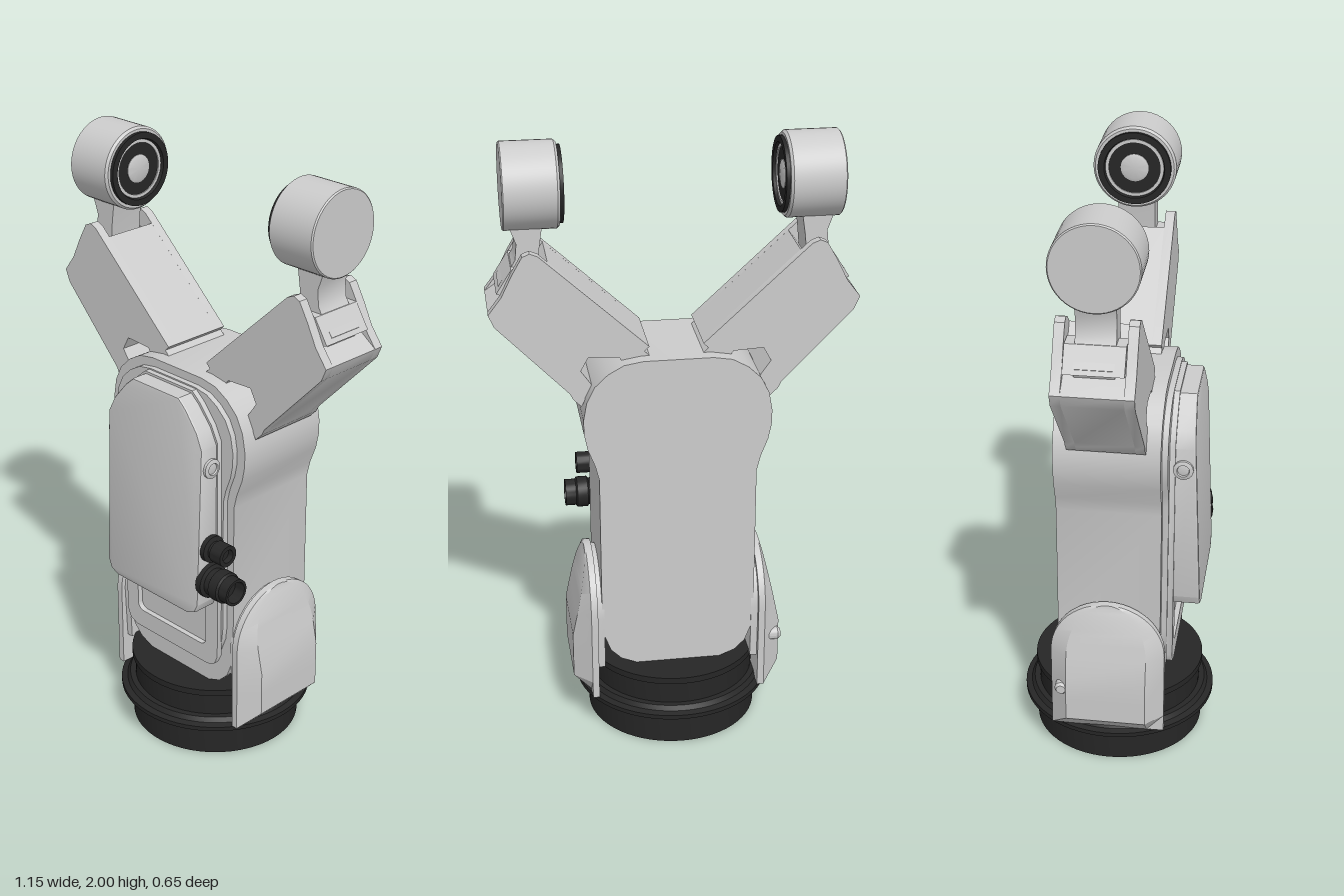
import * as THREE from 'three';
import { toCreasedNormals } from 'three/addons/utils/BufferGeometryUtils.js';

const grey = new THREE.MeshStandardMaterial({ color: 0xcccccc });
const black = new THREE.MeshStandardMaterial({ color: 0x262626 });

function add(parent, name, geometry, material = grey) {
  const mesh = new THREE.Mesh(geometry, material);
  mesh.name = name;
  parent.add(mesh);
  return mesh;
}

const toShape = (points) => new THREE.Shape(points.map(([x, y]) => new THREE.Vector2(x, y)));
const mirrored = (half) => [...half, ...half.map(([x, y]) => [-x, y]).reverse()];

// Extrudes a front outline from z0 to z1.
function prism(shape, z0, z1, bevel = 0) {
  const g = new THREE.ExtrudeGeometry(shape, {
    depth: z1 - z0 - 2 * bevel, curveSegments: 10, bevelEnabled: bevel > 0,
    bevelSize: bevel, bevelOffset: -bevel, bevelThickness: bevel, bevelSegments: 2,
  });
  g.translate(0, 0, z0 + bevel);
  return toCreasedNormals(g, 0.6);
}

// Revolves [radius, height] points around y with crisp edges.
function turned(points, segments = 48) {
  const profile = points.map(([r, h]) => new THREE.Vector2(r, h));
  return toCreasedNormals(new THREE.LatheGeometry(profile, segments), 0.5);
}

function roundedRect(x, y0, y1, r, Type = THREE.Shape) {
  const s = new Type();
  s.absarc(x - r, y0 + r, r, -Math.PI / 2, 0);
  s.absarc(x - r, y1 - r, r, 0, Math.PI / 2);
  s.absarc(-x + r, y1 - r, r, Math.PI / 2, Math.PI);
  s.absarc(-x + r, y0 + r, r, Math.PI, Math.PI * 1.5);
  s.closePath();
  return s;
}

// Side shield: cross-sections stacked in y, arched on top and tapering outward.
function shieldGeometry() {
  const heights = [0.135, 0.195, 0.27, 0.35, 0.43];
  for (let i = 1; i <= 12; i++) heights.push(0.43 + 0.185 * Math.sin((i / 12) * Math.PI / 2));
  const pos = [], idx = [];
  heights.forEach((y, i) => {
    const w = y <= 0.43 ? 0.187 : Math.max(0.002, 0.187 * Math.cos(((i - 4) / 12) * Math.PI / 2));
    const out = y < 0.195 ? 0.291 : y <= 0.35 ? 0.348 : 0.348 - 0.055 * (y - 0.35) / 0.265;
    const section = [[0.268, -w], [0.29, -w], [out, -0.7 * w], [out, 0.7 * w], [0.29, w], [0.268, w]];
    section.forEach(([x, z]) => pos.push(x, y, z));
    if (i === 0) return;
    for (let j = 0; j < 6; j++) {
      const a = (i - 1) * 6 + j, b = (i - 1) * 6 + (j + 1) % 6;
      idx.push(a, a + 6, b, b, a + 6, b + 6);
    }
  });
  const top = (heights.length - 1) * 6;
  for (let k = 1; k < 5; k++) idx.push(0, k, k + 1, top, top + k + 1, top + k);
  const g = new THREE.BufferGeometry();
  g.setAttribute('position', new THREE.Float32BufferAttribute(pos, 3));
  g.setIndex(idx);
  return toCreasedNormals(g, 0.45);
}

// One arm with its ring-faced head, on the +x side.
function createArm() {
  const arm = new THREE.Group();
  const underside = [[0.577, 1.5], [0.56, 1.46], [0.335, 1.225], [0.325, 1.205], [0.3, 1.18],
    [0.265, 1.25], [0.3, 1.3], [0.275, 1.345], [0.18, 1.34], [0.15, 1.295], [0.08, 1.335], [0.1, 1.355], [0.085, 1.37]];
  const cheek = toShape([...underside, [0.42, 1.68], [0.445, 1.69], [0.468, 1.68], [0.5, 1.625], [0.535, 1.555]]);
  const core = toShape([...underside, [0.39, 1.652], [0.43, 1.6], [0.52, 1.54]]);
  add(arm, 'armCheekFront', prism(cheek, 0.092, 0.123));
  add(arm, 'armCheekBack', prism(cheek, -0.123, -0.092));
  add(arm, 'armCore', prism(core, -0.092, 0.092));

  // Neck and hinge block in the fork
  const neck = toShape([[0.4, 1.755], [0.5, 1.755], [0.48, 1.7], [0.485, 1.65], [0.5, 1.625], [0.54, 1.57],
    [0.52, 1.53], [0.42, 1.59], [0.41, 1.69]]);
  add(arm, 'neck', prism(neck, -0.06, 0.06));
  const hinge = toShape([[0.44, 1.63], [0.5, 1.63], [0.548, 1.555], [0.5, 1.54], [0.44, 1.58]]);
  add(arm, 'hingeBlock', prism(hinge, -0.09, 0.09));

  // Head: its open face points to the middle
  const head = new THREE.Group();
  head.name = 'head';
  head.position.set(0.52, 1.866, 0);
  head.rotation.z = Math.PI / 2;
  arm.add(head);
  add(head, 'headShell', turned([[0, 0], [0.13, 0], [0.134, 0.004], [0.134, 0.165], [0.127, 0.173], [0.118, 0.173], [0.118, 0.14], [0, 0.14]]));
  add(head, 'blackRim', turned([[0.118, 0.14], [0.118, 0.185], [0.098, 0.185], [0.094, 0.172], [0.094, 0.14]]), black);
  add(head, 'thinRing', turned([[0.094, 0.14], [0.094, 0.176], [0.084, 0.176], [0.084, 0.14]]));
  add(head, 'innerRing', turned([[0.084, 0.14], [0.084, 0.172], [0.045, 0.172], [0.045, 0.14]]), black);
  add(head, 'centreButton', turned([[0.045, 0.14], [0.045, 0.174], [0.035, 0.178], [0, 0.178]]));
  return arm;
}

export function createModel() {
  const model = new THREE.Group();

  // Round base with flange
  add(model, 'base', turned([[0, 0], [0.285, 0], [0.285, 0.095], [0.3, 0.1], [0.3, 0.112], [0.325, 0.115],
    [0.325, 0.13], [0.305, 0.135], [0.295, 0.15], [0.276, 0.15], [0.276, 0.222], [0.286, 0.228], [0.286, 0.25], [0, 0.25]], 64), black);

  // Body and its stepped front plates
  const outline = mirrored([[0.14, 0.25], [0.19, 0.27], [0.225, 0.305], [0.246, 0.36], [0.253, 0.42], [0.253, 0.94],
    [0.265, 0.99], [0.288, 1.05], [0.298, 1.1], [0.299, 1.15], [0.288, 1.21], [0.262, 1.262], [0.22, 1.302],
    [0.17, 1.33], [0.11, 1.34]]);
  add(model, 'body', prism(toShape(outline), -0.168, 0.168));
  const inset = outline.map(([x, y]) => [x * 0.89, 0.83 + (y - 0.795) * 0.885]);
  add(model, 'frontStep', prism(toShape(inset), 0.165, 0.187));
  const chamferTop = (x, y0, y1) => mirrored([[x - 0.045, y0], [x - 0.014, y0 + 0.014], [x, y0 + 0.045],
    [x, y1 - 0.14], [x - 0.025, y1 - 0.09], [x - 0.075, y1 - 0.03], [x - 0.11, y1]]);
  const panel = toShape(chamferTop(0.217, 0.345, 1.308));
  panel.holes.push(roundedRect(0.163, 0.41, 0.572, 0.025, THREE.Path));
  add(model, 'frontPanel', prism(panel, 0.185, 0.205));

  // Front lid, thinner towards the top
  const lid = prism(toShape(chamferTop(0.213, 0.575, 1.3)), 0.2, 0.292, 0.008);
  const p = lid.attributes.position;
  for (let i = 0; i < p.count; i++) {
    const drop = p.getY(i) > 0.9 ? 0.008 + (p.getY(i) - 0.9) * 0.06 : (p.getY(i) - 0.575) * 0.025;
    p.setZ(i, p.getZ(i) - drop * (p.getZ(i) - 0.2) / 0.092);
  }
  add(model, 'frontLid', toCreasedNormals(lid, 0.5));

  // Cable sockets on the lid's left side
  const sockets = [
    ['smallSocket', 0.81, 0.232, [[0, 0], [0.045, 0], [0.045, 0.022], [0.03, 0.026], [0.03, 0.035], [0.036, 0.038], [0.036, 0.085], [0.022, 0.085], [0.022, 0.065], [0, 0.065]]],
    ['largeSocket', 0.697, 0.235, [[0, 0], [0.058, 0], [0.058, 0.022], [0.046, 0.027], [0.046, 0.045], [0.052, 0.05], [0.052, 0.085], [0.045, 0.09], [0.045, 0.125], [0.036, 0.125], [0.036, 0.085], [0, 0.085]]],
  ];
  for (const [name, y, z, profile] of sockets) {
    const s = add(model, name, turned(profile, 28), black);
    s.position.set(0.207, y, z);
    s.rotation.z = -Math.PI / 2;
  }

  // Lid screws and one shield knob
  for (const side of [1, -1]) {
    const screw = add(model, 'lidScrew', turned([[0, 0], [0.032, 0], [0.032, 0.014], [0.02, 0.018], [0.018, 0.012], [0, 0.012]], 20));
    screw.position.set(side * 0.208, 1.09, 0.23);
    screw.rotation.z = -side * Math.PI / 2;
  }
  const knob = add(model, 'shieldKnob', turned([[0, 0], [0.022, 0], [0.022, 0.035], [0.015, 0.045], [0, 0.045]], 16));
  knob.position.set(-0.305, 0.31, -0.147);
  knob.rotation.z = Math.PI / 2;

  // Paired sides: a half turn mirrors these parts, as they are symmetric in z
  for (const [label, turn] of [['left', 0], ['right', Math.PI]]) {
    const arm = createArm();
    arm.name = label + 'Arm';
    arm.rotation.y = turn;
    model.add(arm);
    add(model, label + 'Shield', shieldGeometry()).rotation.y = turn;
    // Mounting plate between body and shield
    const arch = new THREE.Shape();
    arch.moveTo(-0.165, 0.24);
    arch.lineTo(0.165, 0.24);
    arch.absarc(0, 0.43, 0.172, 0, Math.PI);
    arch.closePath();
    const plate = prism(arch, 0.245, 0.272).rotateY(Math.PI / 2);
    add(model, label + 'MountPlate', plate).rotation.y = turn;
  }
  return model;
}
